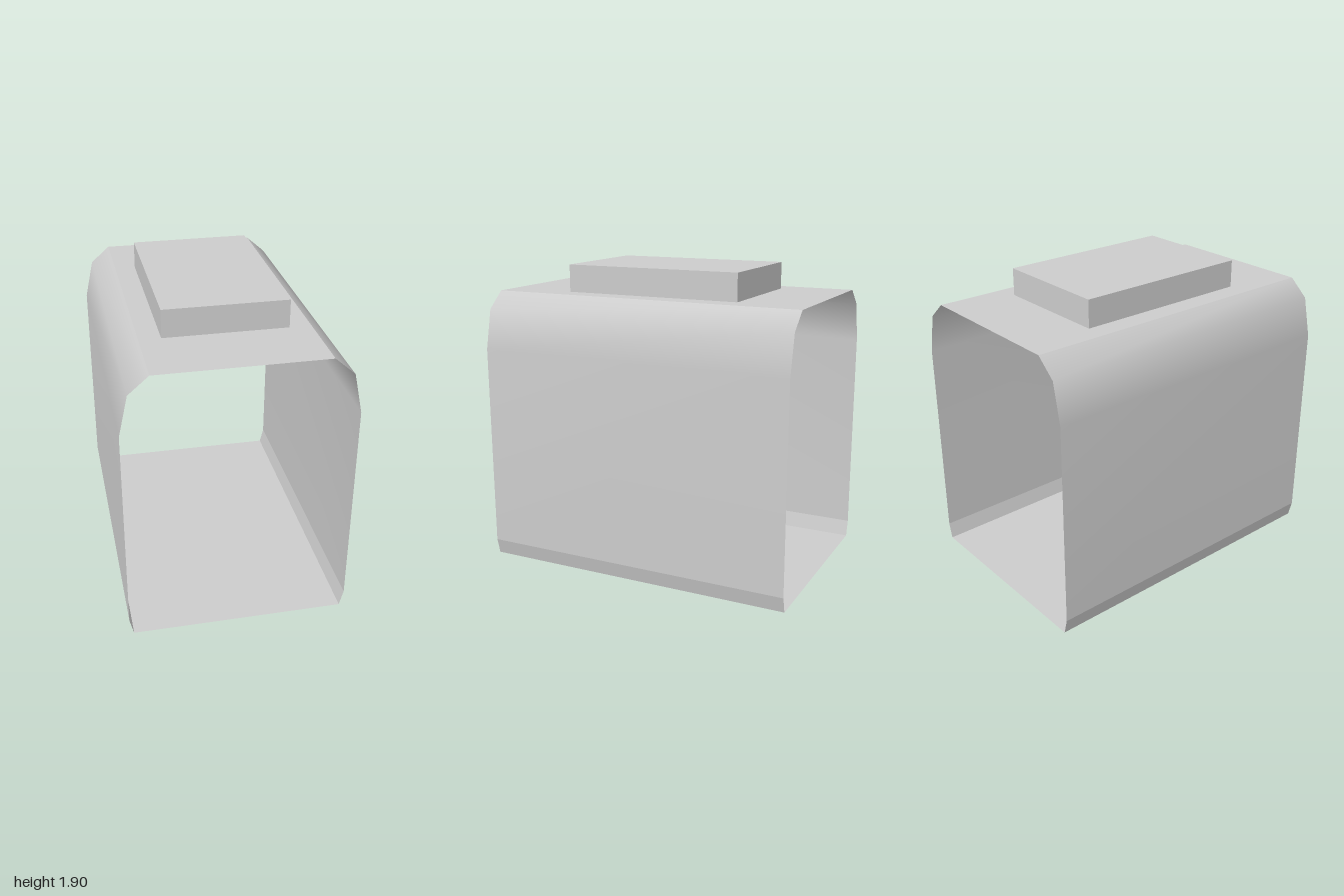
import * as THREE from 'three';

// Open strip swept along z; counterclockwise profiles face outward, bends are smoothed
function strip(profile, halfLength) {
  const positions = [];
  const indices = [];
  profile.forEach(([x, y], i) => {
    positions.push(x, y, halfLength, x, y, -halfLength);
    if (i > 0) {
      const a = (i - 1) * 2;
      indices.push(a, a + 1, a + 3, a, a + 3, a + 2);
    }
  });
  const geometry = new THREE.BufferGeometry();
  geometry.setAttribute('position', new THREE.Float32BufferAttribute(positions, 3));
  geometry.setIndex(indices);
  geometry.computeVertexNormals();
  return geometry;
}

export function createModel() {
  const grey = new THREE.MeshStandardMaterial({ color: 0xcccccc, side: THREE.DoubleSide });
  grey.name = 'light grey';

  const model = new THREE.Group();
  model.name = 'openSleeve';

  function add(name, geometry) {
    const mesh = new THREE.Mesh(geometry, grey);
    mesh.name = name;
    model.add(mesh);
    return mesh;
  }

  const mirror = (profile) => profile.map(([x, y]) => [-x, y]).reverse();

  // Thin sleeve, open at both ends
  const wall = [[0.67, 0.1], [0.673, 1.38], [0.62, 1.625], [0.5, 1.73]];
  const skirt = [[0.645, 0], [0.67, 0.1]];
  add('floor', strip([[-0.645, 0], [0.645, 0]], 1));
  add('leftWall', strip(wall, 1));
  add('rightWall', strip(mirror(wall), 1));
  add('leftLowerEdge', strip(skirt, 1));
  add('rightLowerEdge', strip(mirror(skirt), 1));
  add('roof', strip([[0.5, 1.73], [-0.5, 1.73]], 1));

  // Raised block on the roof
  add('roofBlock', new THREE.BoxGeometry(0.74, 0.17, 1.13)).position.set(0, 1.815, 0);

  return model;
}
